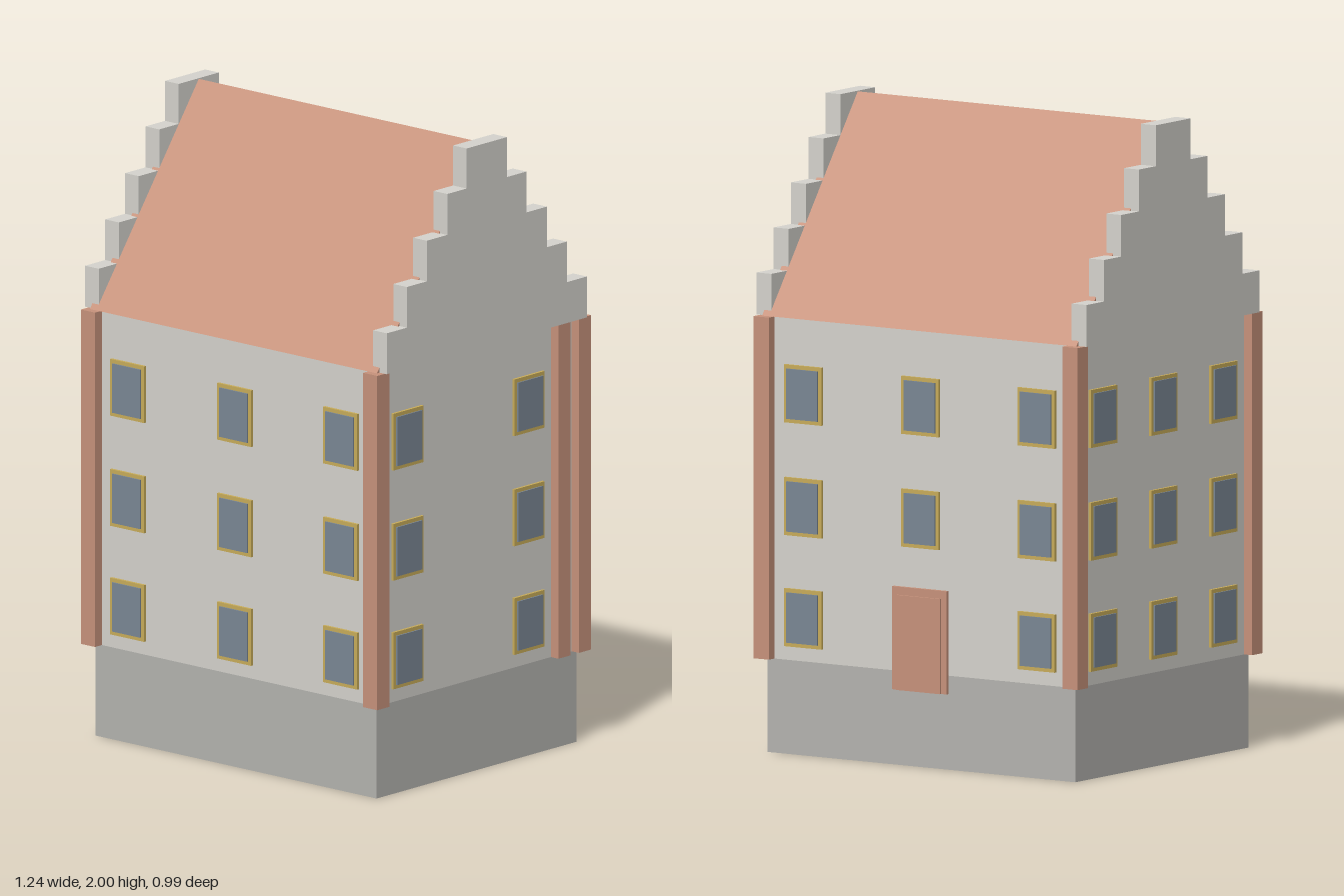
import * as THREE from 'three';

export function createModel() {
  const model = new THREE.Group();
  model.name = 'steppedGableHouse';

  const material = (name, color) => {
    const m = new THREE.MeshStandardMaterial({ color });
    m.name = name;
    return m;
  };
  const plaster = material('plaster', 0xd6d4ce);
  const stone = material('stone', 0xb5b4b0);
  const brick = material('brick', 0xc8937c);
  const glass = material('glass', 0x7b8895);
  const trim = material('windowTrim', 0xc9ad5a);

  const add = (parent, name, geometry, mat) => {
    const mesh = new THREE.Mesh(geometry, mat);
    mesh.name = name;
    parent.add(mesh);
    return mesh;
  };
  // box given by its lower and upper corners
  const box = (parent, name, mat, [x0, y0, z0], [x1, y1, z1]) =>
    add(parent, name, new THREE.BoxGeometry(x1 - x0, y1 - y0, z1 - z0), mat)
      .position.set((x0 + x1) / 2, (y0 + y1) / 2, (z0 + z1) / 2);

  const W = 0.578, D = 0.463, PLINTH = 0.292, EAVE = 1.355;

  // plinth and walls
  box(model, 'plinth', stone, [-W, 0, -D], [W, PLINTH, D]);
  box(model, 'walls', plaster, [-W, PLINTH, -D], [W, EAVE, D]);

  // corner pilasters, plus a second one near the back of the left side
  const pilaster = (name, x, z) =>
    box(model, name, brick, [x - 0.029, PLINTH, z - 0.028], [x + 0.029, EAVE - 0.001, z + 0.028]);
  for (const sx of [-1, 1])
    for (const sz of [-1, 1]) pilaster('cornerPilaster', sx * 0.58, sz * 0.467);
  pilaster('sidePilaster', 0.58, -0.372);

  // pitched roof, a triangle extruded along x
  const slope = new THREE.Shape();
  slope.moveTo(-0.475, EAVE);
  slope.lineTo(0.475, EAVE);
  slope.lineTo(0, 1.998);
  slope.closePath();
  const roof = new THREE.ExtrudeGeometry(slope, { depth: 1.18, bevelEnabled: false });
  roof.translate(0, 0, -0.59).rotateY(Math.PI / 2);
  add(model, 'roof', roof, brick);

  // stepped gables at both ends
  const steps = [[0.463, 1.485], [0.37, 1.614], [0.278, 1.743], [0.183, 1.873], [0.093, 2]];
  const outline = [];
  let y = EAVE;
  for (const [z, top] of steps) {
    outline.push([z, y], [z, top]);
    y = top;
  }
  const points = [...outline, ...outline.map(([z, h]) => [-z, h]).reverse()]
    .map(([z, h]) => new THREE.Vector2(z, h));
  for (const side of [-1, 1]) {
    const gable = new THREE.ExtrudeGeometry(new THREE.Shape(points), { depth: 0.056, bevelEnabled: false });
    gable.translate(0, 0, -0.028).rotateY(Math.PI / 2);
    add(model, side > 0 ? 'leftGable' : 'rightGable', gable, plaster).position.x = side * 0.592;
  }

  // windows: trim plate with a raised pane, set in a wall group that faces +z
  const wall = (name, angle, distance) => {
    const group = new THREE.Group();
    group.name = name;
    const inner = new THREE.Group();
    inner.name = name + 'Openings';
    inner.position.z = distance;
    group.rotation.y = angle;
    group.add(inner);
    model.add(group);
    return inner;
  };
  const addWindow = (parent, x, h) => {
    box(parent, 'windowFrame', trim, [x - 0.07, h - 0.09, 0], [x + 0.07, h + 0.09, 0.009]);
    box(parent, 'windowPane', glass, [x - 0.058, h - 0.078, 0.006], [x + 0.058, h + 0.078, 0.014]);
  };
  const rows = [0.425, 0.77, 1.12];
  const front = wall('frontWall', 0, D);
  const back = wall('backWall', Math.PI, D);
  const left = wall('leftWall', Math.PI / 2, W);
  const right = wall('rightWall', -Math.PI / 2, W);
  rows.forEach((h, row) => {
    for (const x of [-0.44, 0, 0.436]) {
      addWindow(front, x, h);
      if (x !== 0 || row > 0) addWindow(back, x, h);
    }
    for (const x of [-0.325, 0.235]) addWindow(left, x, h);
    for (const x of [-0.322, 0, 0.322]) addWindow(right, x, h);
  });

  // back door: surround and raised leaf
  box(back, 'doorFrame', brick, [-0.102, 0.235, 0], [0.102, 0.555, 0.012]);
  box(back, 'doorLeaf', brick, [-0.082, 0.235, 0.01], [0.082, 0.53, 0.019]);

  return model;
}
